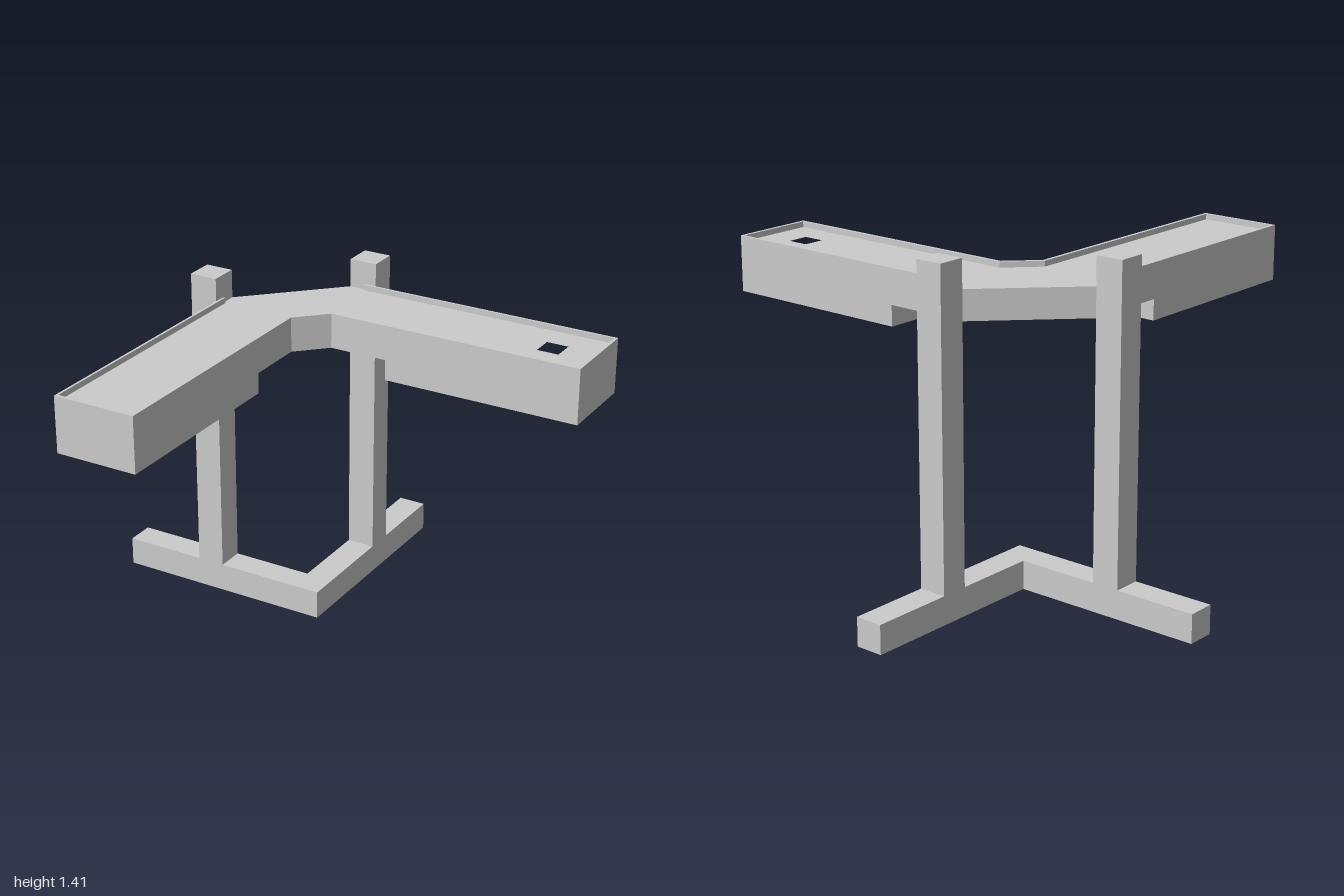
import * as THREE from 'three';

const material = new THREE.MeshStandardMaterial({ color: 0xcccccc, flatShading: true });

// Extrude a floor plan given as [x, z] corners from height y0 to y1
function slab(name, plan, y0, y1, holePlan) {
  const toPoints = (list) => list.map(([x, z]) => new THREE.Vector2(x, -z));
  const shape = new THREE.Shape(toPoints(plan));
  if (holePlan) shape.holes.push(new THREE.Path(toPoints(holePlan)));
  const geometry = new THREE.ExtrudeGeometry(shape, { depth: y1 - y0, bevelEnabled: false });
  geometry.rotateX(-Math.PI / 2).translate(0, y0, 0);
  const mesh = new THREE.Mesh(geometry, material);
  mesh.name = name;
  return mesh;
}

const rect = (x0, x1, z0, z1) => [[x0, z0], [x1, z0], [x1, z1], [x0, z1]];

// Complete a half plan by mirroring it across the x = z diagonal
const mirrored = (half) => [...half, ...half.map(([x, z]) => [z, x]).reverse()];

export function createModel() {
  const model = new THREE.Group();
  const back = -0.532, front = -0.185;
  const bottom = 1.09, underside = 1.175, floor = 1.297, top = 1.32;

  // L-shaped foot with its corner at the front
  const footIn = -0.183, footOut = -0.065, footTop = 0.12;
  model.add(slab('foot', mirrored([[footOut, footOut], [footOut, -1], [footIn, -1], [footIn, footIn]])
    .filter((p, i, all) => all.findIndex((q) => q[0] === p[0] && q[1] === p[1]) === i), 0, footTop));

  // Posts behind each arm
  model.add(slab('rightPost', rect(-0.65, back, footIn, footOut), footTop, 1.415));
  model.add(slab('backPost', rect(footIn, footOut, -0.65, back), footTop, 1.415));

  // Angled worktop with a square well in one arm
  const outline = mirrored([[-0.183, back], [1, back], [1, front], [-0.07, front]]);
  model.add(slab('worktop', outline, underside, floor, rect(0.76, 0.85, -0.407, -0.317)));

  // Deeper boxes under the outer part of each arm
  model.add(slab('leftArmBox', rect(0.175, 1, back, front), bottom, underside));
  model.add(slab('frontArmBox', rect(back, front, 0.175, 1), bottom, underside));

  // Raised lip around the worktop, open along the outer diagonal
  const t = 0.014, lipBack = back + 0.01, lipStart = -0.115;
  const outer = mirrored([[lipStart, back], [1, back], [1, front], [-0.07, front]]);
  const inner = mirrored([[lipStart, lipBack], [1 - t, lipBack], [1 - t, front - t], [-0.076, front - t]]);
  model.add(slab('lip', [...outer, ...inner.reverse()], floor, top));

  return model;
}
